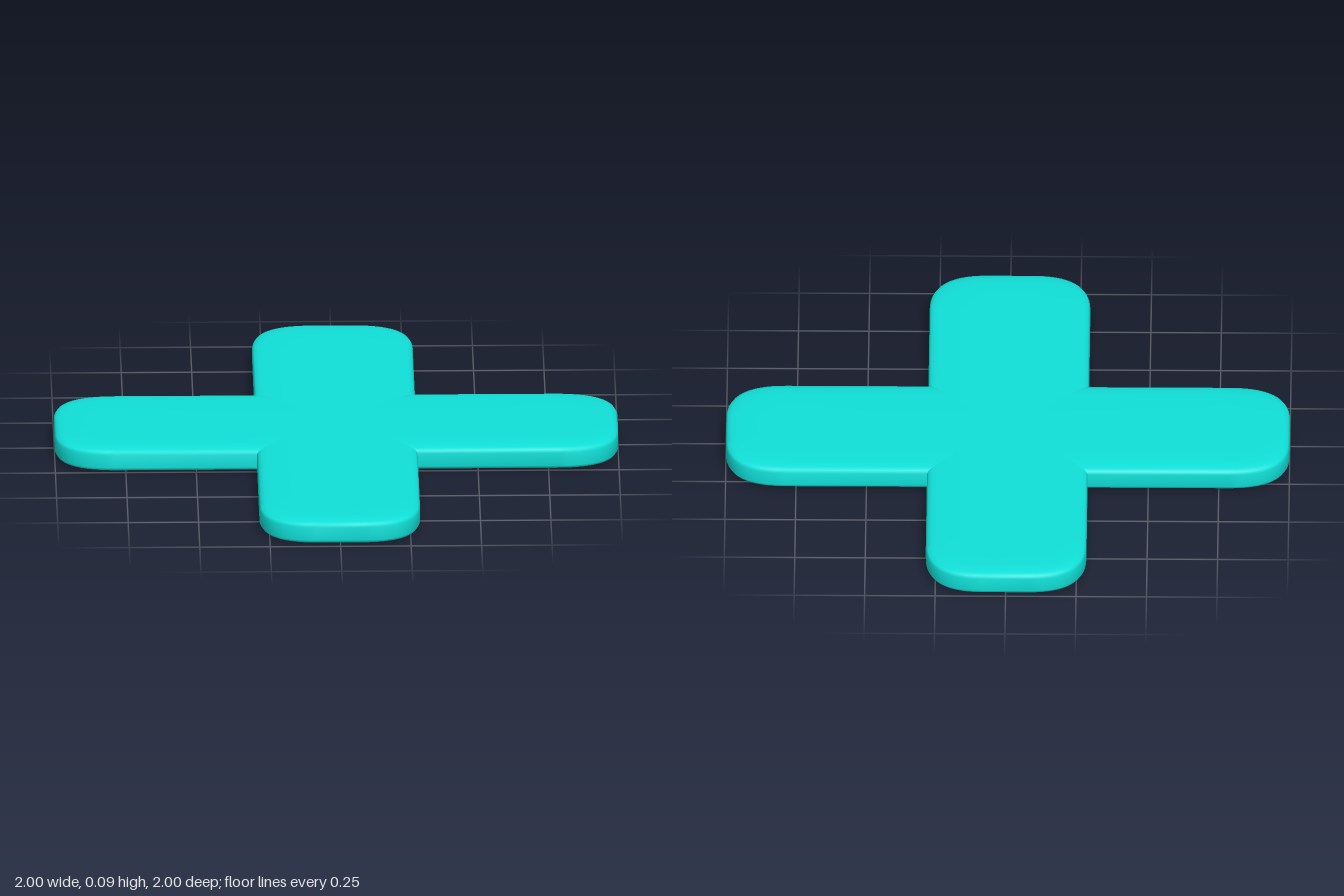
import * as THREE from 'three';

const HALF_LENGTH = 1, HALF_WIDTH = 0.285, HEIGHT = 0.094;

// Soft-cornered bar outline, shrunk evenly by inset
function outline(inset) {
  const l = HALF_LENGTH - inset, w = HALF_WIDTH - inset;
  const cl = 0.21 - inset * 0.5, cw = Math.min(0.2, w * 0.7);
  const quarter = new THREE.QuadraticBezierCurve(
    new THREE.Vector2(l, w - cw), new THREE.Vector2(l, w), new THREE.Vector2(l - cl, w)
  ).getPoints(14);
  const half = [...quarter, ...quarter.map(p => new THREE.Vector2(-p.x, p.y)).reverse()];
  return [...half, ...half.map(p => p.clone().negate())];
}

// Flat pillow: rings stacked from the bottom centre round the rim to the top centre
function barGeometry() {
  const edge = [[0.14, 0], [0.08, 0.001], [0.045, 0.003], [0.02, 0.007], [0.006, 0.013], [0, 0.023]];
  const profile = [...edge, ...edge.map(([i, y]) => [i, HEIGHT - y]).reverse()];
  const positions = [], index = [];
  profile.forEach(([inset, y]) => outline(inset).forEach(p => positions.push(p.x, y, -p.y)));
  const n = outline(0).length, rings = profile.length;
  const bottom = n * rings, top = bottom + 1;
  positions.push(0, 0, 0, 0, HEIGHT, 0);
  for (let j = 0; j < n; j++) {
    const k = (j + 1) % n;
    for (let r = 0; r < rings - 1; r++) {
      const a = r * n + j, b = r * n + k;
      index.push(a, b, b + n, a, b + n, a + n);
    }
    index.push(bottom, k, j, top, (rings - 1) * n + j, (rings - 1) * n + k);
  }
  const geometry = new THREE.BufferGeometry();
  geometry.setAttribute('position', new THREE.Float32BufferAttribute(positions, 3));
  geometry.setIndex(index);
  geometry.computeVertexNormals();
  return geometry;
}

export function createModel() {
  const group = new THREE.Group();
  group.name = 'cross';
  const material = new THREE.MeshStandardMaterial({ color: 0x10e0d8 });
  const geometry = barGeometry();

  // Crossbar sits slightly behind the middle
  const crossBar = new THREE.Mesh(geometry, material);
  crossBar.name = 'crossBar';
  crossBar.position.z = -0.02;

  // Long bar runs front to back
  const longBar = new THREE.Mesh(geometry, material);
  longBar.name = 'longBar';
  longBar.rotation.y = Math.PI / 2;

  group.add(crossBar, longBar);
  return group;
}
